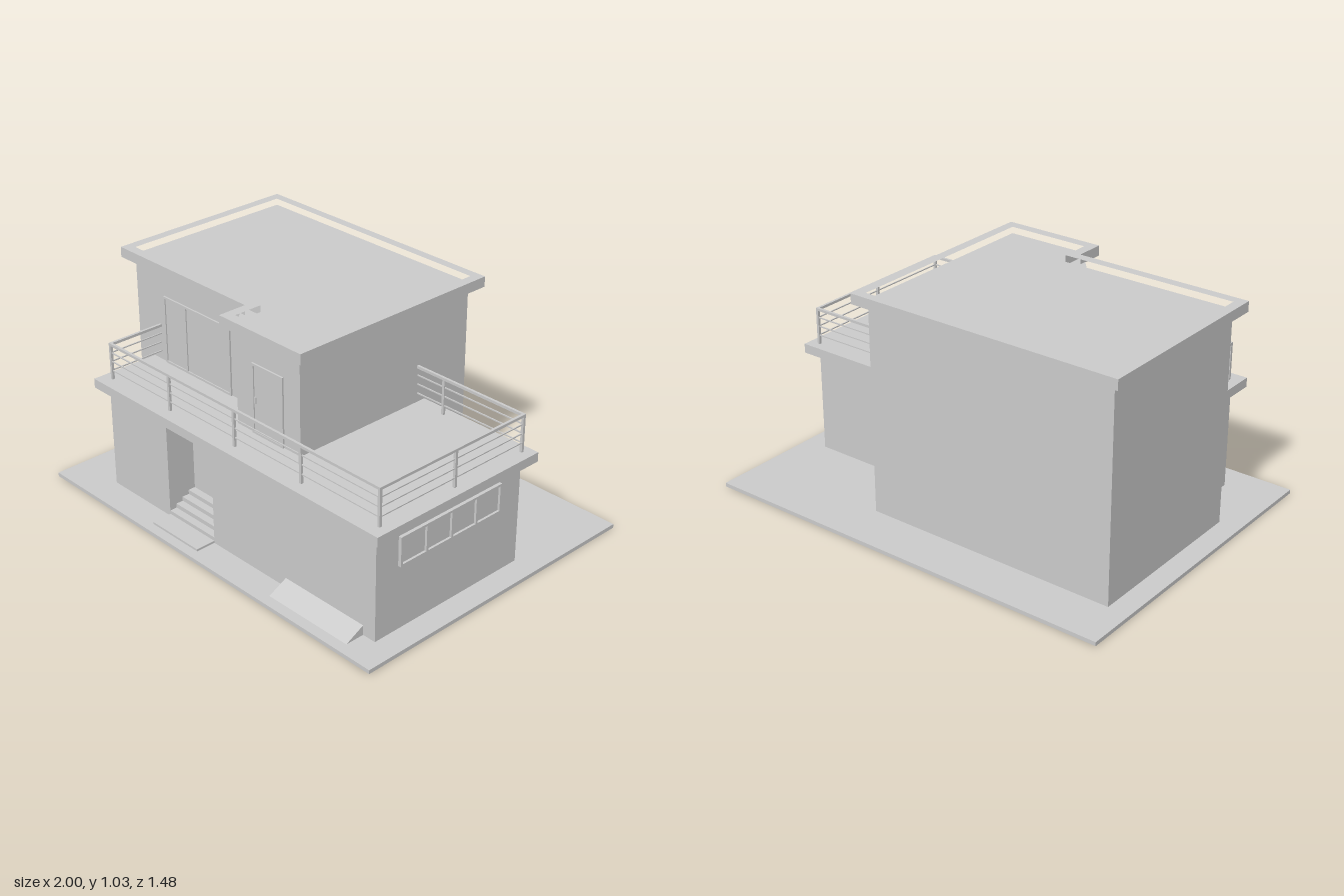
import * as THREE from 'three';

const material = new THREE.MeshStandardMaterial({ color: 0xcccccc, flatShading: true });

function add(parent, geometry, name) {
  const mesh = new THREE.Mesh(geometry, material);
  mesh.name = name;
  parent.add(mesh);
  return mesh;
}

// Box given by its limits on each axis
function box(parent, name, x0, x1, y0, y1, z0, z1) {
  const mesh = add(parent, new THREE.BoxGeometry(x1 - x0, y1 - y0, z1 - z0), name);
  mesh.position.set((x0 + x1) / 2, (y0 + y1) / 2, (z0 + z1) / 2);
  return mesh;
}

// Vertical prism on a floor plan of [x, z] corners, with an optional hole
function prism(parent, name, plan, y0, y1, hole) {
  const points = (list) => list.map(([x, z]) => new THREE.Vector2(x, -z));
  const shape = new THREE.Shape(points(plan));
  if (hole) shape.holes.push(new THREE.Path(points(hole)));
  const geometry = new THREE.ExtrudeGeometry(shape, { depth: y1 - y0, bevelEnabled: false });
  geometry.rotateX(-Math.PI / 2).translate(0, y0, 0);
  return add(parent, geometry, name);
}

// Square bar between two points
function bar(parent, name, a, b, size) {
  const from = new THREE.Vector3(...a), to = new THREE.Vector3(...b);
  const mesh = add(parent, new THREE.BoxGeometry(size, size, from.distanceTo(to) + size), name);
  mesh.position.copy(from).lerp(to, 0.5);
  mesh.lookAt(to);
  return mesh;
}

// Framed opening facing +z, with mullions at the given fractions of its width
function framedPanel(name, w, h, mullions, depth) {
  const group = new THREE.Group();
  group.name = name;
  const t = 0.01;
  box(group, 'pane', 0, w, 0, h, -0.005, depth * 0.3);
  box(group, 'frameBottom', 0, w, 0, t, 0, depth);
  box(group, 'frameTop', 0, w, h - t, h, 0, depth);
  for (const f of [0, ...mullions, 1]) {
    const x = t / 2 + f * (w - t);
    box(group, 'frameUpright', x - t / 2, x + t / 2, t, h - t, 0, depth);
  }
  return group;
}

// Straight stretch of railing from a to b ([x, z]), with posts at given fractions
function railing(parent, a, b, posts) {
  const group = new THREE.Group();
  group.name = 'railing';
  const at = (f, y) => [a[0] + f * (b[0] - a[0]), y, a[1] + f * (b[1] - a[1])];
  bar(group, 'handrail', at(0, 0.707), at(1, 0.707), 0.012);
  for (const y of [0.582, 0.625, 0.667]) bar(group, 'railingWire', at(0, y), at(1, y), 0.005);
  for (const f of posts) {
    const [x, , z] = at(f, 0);
    box(group, 'railingPost', x - 0.006, x + 0.006, 0.54, 0.71, z - 0.006, z + 0.006);
  }
  parent.add(group);
}

export function createModel() {
  const house = new THREE.Group();
  house.name = 'house';

  box(house, 'groundPlate', -1, 1, 0, 0.018, -0.74, 0.74);

  // Tall rear block with its projecting bay
  prism(house, 'mainWalls', [
    [-0.9, -0.515], [0.31, -0.515], [0.31, 0.45], [-0.07, 0.45], [-0.19, 0.31], [-0.9, 0.31],
  ], 0.018, 0.985);

  // Ground floor wrapping the front, with the entrance recess
  prism(house, 'groundFloorWalls', [
    [-0.75, 0.3], [-0.75, 0.6], [-0.365, 0.6], [-0.365, 0.46], [-0.07, 0.46], [-0.07, 0.6],
    [0.89, 0.6], [0.89, -0.22], [0.3, -0.22], [0.3, 0.3],
  ], 0.018, 0.497);

  // Terrace slab
  prism(house, 'terraceSlab', [
    [-0.8, 0.3], [-0.8, 0.645], [0.94, 0.645], [0.94, -0.265], [0.3, -0.265], [0.3, 0.3],
  ], 0.497, 0.54);

  // Roof: raised rim around a sunken deck
  const roofInner = [[-0.9, -0.52], [0.315, -0.52], [0.315, 0.445], [-0.075, 0.445], [-0.075, 0.31], [-0.9, 0.31]];
  const roofOuter = [[-0.945, -0.562], [0.36, -0.562], [0.36, 0.492], [-0.12, 0.492], [-0.12, 0.355], [-0.945, 0.355]];
  prism(house, 'roofRim', roofOuter, 0.983, 1.03, roofInner);
  prism(house, 'roofDeck', roofInner, 0.983, 1.0);

  // Terrace railings
  railing(house, [-0.745, 0.585], [0.89, 0.585], [0, 0.242, 0.495, 0.737, 1]);
  railing(house, [0.89, 0.585], [0.89, -0.22], [0.51, 1]);
  railing(house, [0.89, -0.22], [0.31, -0.22], [0.74]);
  railing(house, [-0.745, 0.585], [-0.745, 0.31], []);

  // Entrance stairs and landing
  for (let i = 0; i < 4; i++) {
    box(house, 'entranceStep', -0.365, -0.07, 0.018, 0.045 + i * 0.02, 0.6 - 0.14 * (i + 1) / 4, 0.6 - 0.14 * i / 4);
  }
  box(house, 'entranceLanding', -0.365, -0.07, 0.018, 0.028, 0.6, 0.695);

  // Sloped ramp, its triangular section swept along x
  const section = new THREE.Shape([[0, 0], [0.09, 0], [0, 0.045]].map((p) => new THREE.Vector2(...p)));
  const ramp = add(house, new THREE.ExtrudeGeometry(section, { depth: 0.445, bevelEnabled: false }), 'ramp');
  ramp.rotation.y = -Math.PI / 2;
  ramp.position.set(0.825, 0.018, 0.6);

  // Terrace doors and side window
  const slidingDoor = framedPanel('slidingDoor', 0.44, 0.32, [0.33], 0.008);
  slidingDoor.position.set(-0.71, 0.54, 0.31);
  const bayDoor = framedPanel('bayDoor', 0.185, 0.32, [], 0.008);
  bayDoor.position.set(0.03, 0.54, 0.45);
  const handle = box(bayDoor, 'doorHandle', 0.014, 0.022, 0.14, 0.17, 0, 0.008);
  handle.name = 'doorHandle';
  const sideWindow = framedPanel('sideWindow', 0.575, 0.135, [0.25, 0.5, 0.75], 0.015);
  sideWindow.rotation.y = Math.PI / 2;
  sideWindow.position.set(0.89, 0.315, 0.48);
  house.add(slidingDoor, bayDoor, sideWindow);

  return house;
}
